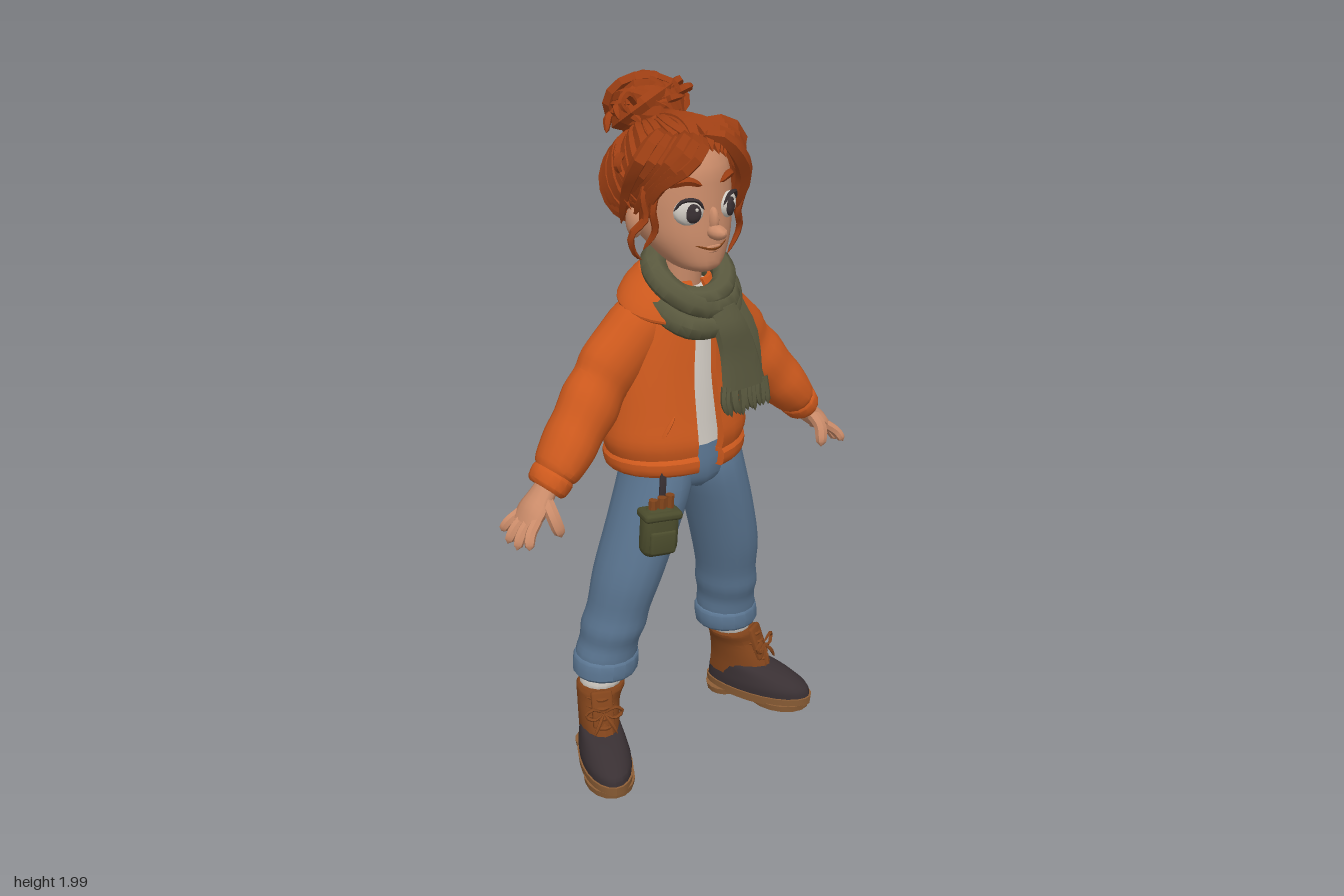
import * as THREE from 'three';
import { mergeGeometries, toCreasedNormals } from 'three/addons/utils/BufferGeometryUtils.js';
import { RoundedBoxGeometry } from 'three/addons/geometries/RoundedBoxGeometry.js';

const mat = (name, color, side = THREE.FrontSide) => {
  const m = new THREE.MeshStandardMaterial({ color, side });
  m.name = name;
  return m;
};
const V3 = (x, y, z) => new THREE.Vector3(x, y, z);
const X = V3(1, 0, 0), Z = V3(0, 0, 1);

// Cross-sections: a full circle, and a thick ring left open at the front
const circle = (n) => Array.from({ length: n }, (_, i) => [Math.cos(i / n * 2 * Math.PI), Math.sin(i / n * 2 * Math.PI)]);
function openRing(n, gap, inner) {
  const arc = Array.from({ length: n }, (_, i) => {
    const t = Math.PI / 2 + gap + i / (n - 1) * (2 * Math.PI - 2 * gap);
    return [Math.cos(t), Math.sin(t)];
  });
  return [...arc, ...arc.map(([u, v]) => [u * inner, v * inner]).reverse()];
}

// Skins a profile over rings [x, y, z, radiusU, radiusV], smoothed along the path
function loft(rings, profile = circle(16), U = X, V = Z, sub = 3) {
  const cen = new THREE.CatmullRomCurve3(rings.map((r) => V3(r[0], r[1], r[2])), false, 'catmullrom');
  const rad = new THREE.CatmullRomCurve3(rings.map((r) => V3(r[3], r[4], 0)), false, 'catmullrom');
  const rows = (rings.length - 1) * sub, n = profile.length, pos = [], idx = [];
  for (let i = 0; i <= rows; i++) {
    const c = cen.getPoint(i / rows), r = rad.getPoint(i / rows);
    for (const [u, v] of profile) pos.push(...c.clone().addScaledVector(U, u * r.x).addScaledVector(V, v * r.y).toArray());
  }
  const flip = U.clone().cross(V).dot(cen.getPoint(1).sub(cen.getPoint(0))) < 0;
  const quad = (a, b, c, d) => (flip ? idx.push(a, c, b, a, d, c) : idx.push(a, b, c, a, c, d));
  for (let i = 0; i < rows; i++) for (let j = 0; j < n; j++) {
    const k = (j + 1) % n;
    quad(i * n + j, i * n + k, (i + 1) * n + k, (i + 1) * n + j);
  }
  for (let i = 0; i < n / 2 - 1; i++) {
    const e = rows * n;
    quad(e + i, e + i + 1, e + n - 2 - i, e + n - 1 - i);
    quad(n - 1 - i, n - 2 - i, i + 1, i);
  }
  const g = new THREE.BufferGeometry();
  g.setAttribute('position', new THREE.Float32BufferAttribute(pos, 3));
  g.setIndex(idx);
  return g;
}

// Tapered tube through points
const leaf = (t) => Math.sqrt(Math.max(0, Math.sin(Math.PI * t)));
const tip = (t) => Math.sqrt(Math.max(0, 1 - t ** 8));
function strand(points, r, taper = leaf, seg = 10, radial = 5) {
  const curve = new THREE.CatmullRomCurve3(points.map((p) => V3(...p)));
  const g = new THREE.TubeGeometry(curve, seg, r, radial), p = g.attributes.position, v = V3(0, 0, 0);
  for (let i = 0; i < p.count; i++) {
    const t = Math.floor(i / (radial + 1)) / seg;
    v.fromBufferAttribute(p, i).sub(curve.getPointAt(t)).multiplyScalar(taper(t)).add(curve.getPointAt(t));
    p.setXYZ(i, v.x, v.y, v.z);
  }
  return g;
}
const ball = (x, y, z, a, b, c, n = 16) => new THREE.SphereGeometry(1, n, Math.max(8, n / 2)).scale(a, b, c).translate(x, y, z);

export function createModel() {
  const D = THREE.DoubleSide;
  const M = {
    jacket: mat('orange jacket', 0xcd591d, D), hair: mat('auburn hair', 0x9c3e13, D), skin: mat('skin', 0xcb8c6a),
    scarf: mat('olive scarf', 0x59583e), denim: mat('blue denim', 0x5c7793), leather: mat('brown leather', 0x82441b),
    rubber: mat('dark rubber', 0x393033), cream: mat('cream cloth', 0xd0cac2), sole: mat('tan sole', 0x8c5e36),
    pouch: mat('moss canvas', 0x4a4b2c),
  };
  const model = new THREE.Group();
  const add = (name, geo, m, parent = model, crease = 0.5) => {
    const mesh = new THREE.Mesh(toCreasedNormals(Array.isArray(geo) ? mergeGeometries(geo) : geo, crease), m);
    mesh.name = name;
    parent.add(mesh);
    return mesh;
  };

  // Head and face
  const head = new THREE.Group();
  head.name = 'head';
  model.add(head);
  const hx = -0.01;
  add('face', loft([[hx, 1.5, 0.13, 0.03, 0.035], [hx, 1.515, 0.115, 0.065, 0.07], [hx, 1.55, 0.09, 0.098, 0.1],
    [hx, 1.6, 0.06, 0.128, 0.13], [hx, 1.66, 0.04, 0.142, 0.145], [hx, 1.72, 0.025, 0.148, 0.155],
    [hx, 1.78, 0.02, 0.14, 0.15], [hx, 1.84, 0.015, 0.1, 0.11], [hx, 1.865, 0.01, 0.04, 0.05]], circle(24)), M.skin, head, 0.8);
  add('neck', loft([[0, 1.38, 0.03, 0.06, 0.06], [0, 1.56, 0.05, 0.052, 0.055]]), M.skin, head, 0.8);
  add('nose', [ball(hx, 1.614, 0.2, 0.024, 0.02, 0.034), ball(hx, 1.645, 0.184, 0.014, 0.035, 0.02)], M.skin, head, 0.8);
  add('lips', [ball(hx, 1.573, 0.182, 0.032, 0.007, 0.012), ball(hx, 1.562, 0.18, 0.024, 0.008, 0.012)], M.skin, head, 0.8);
  add('mouth', strand([[hx - 0.055, 1.582, 0.176], [hx, 1.568, 0.191], [hx + 0.055, 1.582, 0.176]], 0.005), M.leather, head);
  for (const s of [-1, 1]) {
    const eye = new THREE.Group();
    eye.name = s > 0 ? 'leftEye' : 'rightEye';
    eye.position.set(hx + s * 0.067, 1.672, 0.164);
    eye.rotation.y = s * 0.45;
    head.add(eye);
    add('eyeWhite', ball(0, 0, 0, 0.041, 0.036, 0.018), M.cream, eye, 0.8);
    add('iris', ball(-s * 0.01, -0.002, 0.013, 0.022, 0.026, 0.009), M.rubber, eye, 0.8);
    add('glint', ball(-s * 0.01 + 0.008, 0.009, 0.02, 0.005, 0.005, 0.004, 8), M.cream, eye);
    add('lashes', strand([[-0.042, 0.004, 0.006], [-0.02, 0.032, 0.014], [0.02, 0.032, 0.014], [0.042, 0.004, 0.006]], 0.006), M.rubber, eye);
    add('eyebrow', strand([[hx + s * 0.03, 1.738, 0.176], [hx + s * 0.07, 1.753, 0.162], [hx + s * 0.112, 1.738, 0.128]], 0.012), M.hair, head);
    add('ear', ball(hx + s * 0.152, 1.638, 0.045, 0.02, 0.045, 0.03), M.skin, head, 0.8);
  }

  // Hair: cap, locks swept back to the bun, side-swept front locks
  let seed = 7;
  const rnd = (a, b) => a + (b - a) * ((seed = (seed * 16807) % 2147483647) / 2147483647);
  const onScalp = (th, az, k) => V3(Math.sin(th) * Math.sin(az), Math.cos(th), Math.sin(th) * Math.cos(az))
    .applyAxisAngle(X, -0.7).multiply(V3(0.178 * k, 0.148 * k, 0.166 * k)).add(V3(hx, 1.73, 0.022));
  const hairline = (az) => 1.97 - 0.32 * Math.max(0, Math.cos(az)) ** 3;
  const cap = new THREE.SphereGeometry(1, 36, 14), cp = cap.attributes.position;
  for (let i = 0; i < cp.count; i++) {
    const az = Math.atan2(cp.getX(i), cp.getZ(i));
    const v = onScalp(Math.acos(THREE.MathUtils.clamp(cp.getY(i), -1, 1)) / Math.PI * hairline(az), az, 1);
    cp.setXYZ(i, v.x, v.y, v.z);
  }
  // leave the cap open at the hairline
  cap.setIndex([...cap.index.array].slice(0, -36 * 3));
  const locks = [cap];
  for (let i = 0; i < 60; i++) {
    const az = i / 60 * Math.PI * 2, twist = rnd(-0.3, 0.3), lift = rnd(0.98, 1.05), start = hairline(az) + rnd(-0.04, 0.08);
    const pts = [0, 0.25, 0.5, 0.75, 1].map((t) => onScalp(start + (0.2 - start) * t, az + twist * Math.sin(t * 3), lift).toArray());
    locks.push(strand(pts, rnd(0.015, 0.026)));
  }
  for (const s of [-1, 1]) for (let i = 0; i < 6; i++) {
    const k = i * 0.018, f = s < 0 ? 0.235 : 0.185, w = rnd(-0.008, 0.008);
    locks.push(strand([[hx + s * 0.012, 1.845, 0.1 - k], [hx + s * (0.045 + k), 1.855 + w, f - 0.035 - k], [hx + s * (0.098 + k), 1.81 + w, f - 0.025 - k],
      [hx + s * (0.148 + k / 3), 1.735 - w, 0.14 - k], [hx + s * (0.152 + w), 1.65 - rnd(0, 0.04), 0.085 - k]], rnd(0.018, 0.025)));
  }
  add('hair', locks, M.hair, head, 0.35);

  // Bun of tangled loops with flicked ends
  const bun = [ball(0.008, 1.89, -0.105, 0.095, 0.087, 0.105)];
  for (let i = 0; i < 18; i++) {
    bun.push(new THREE.TorusGeometry(rnd(0.055, 0.08), rnd(0.013, 0.02), 5, 14).rotateX(rnd(0, 3.1)).rotateY(rnd(0, 3.1))
      .scale(1.13, 1, 1.15).translate(0.008 + rnd(-0.02, 0.02), 1.905 + rnd(-0.018, 0.008), -0.11 + rnd(-0.025, 0.02)));
  }
  for (let i = 0; i < 12; i++) {
    const a = i / 12 * Math.PI * 2, y = rnd(1.84, 1.95), c = Math.sin(a), d = Math.cos(a);
    bun.push(strand([[0.008 + c * 0.06, y, -0.11 + d * 0.06], [0.008 + c * 0.105, y + 0.025, -0.11 + d * 0.105],
      [0.008 + c * 0.12 + d * 0.03, y + rnd(-0.02, 0.03), -0.11 + d * 0.115 - c * 0.03]], 0.013));
  }
  add('bun', bun, M.hair, head, 0.35);

  // Loose curls
  add('looseCurls', [
    [[-0.15, 1.8, 0.1], [-0.185, 1.72, 0.11], [-0.175, 1.66, 0.11], [-0.215, 1.62, 0.1], [-0.2, 1.57, 0.09], [-0.165, 1.54, 0.08]],
    [[-0.14, 1.76, 0.13], [-0.16, 1.68, 0.12], [-0.145, 1.62, 0.11], [-0.17, 1.57, 0.09]],
    [[0.14, 1.8, 0.1], [0.165, 1.7, 0.11], [0.15, 1.63, 0.1], [0.175, 1.57, 0.08], [0.13, 1.5, 0.08]],
    [[0.16, 1.76, 0.06], [0.18, 1.69, 0.06], [0.17, 1.65, 0.06], [0.205, 1.63, 0.05], [0.2, 1.6, 0.05]],
    [[-0.15, 1.78, 0.02], [-0.185, 1.81, 0.02], [-0.205, 1.79, 0.03], [-0.19, 1.76, 0.03]],
    [[-0.06, 1.9, -0.06], [-0.12, 1.95, -0.04], [-0.145, 1.93, -0.03], [-0.13, 1.905, -0.02]],
    [[0.08, 1.85, -0.1], [0.12, 1.84, -0.14], [0.115, 1.8, -0.19], [0.1, 1.77, -0.17]],
  ].map((p) => strand(p, 0.011, leaf, 14)), M.hair, head);

  // Shirt
  add('shirt', loft([[-0.01, 1, 0.03, 0.17, 0.138], [-0.01, 1.2, 0.03, 0.15, 0.12], [0, 1.44, 0.03, 0.09, 0.085]]), M.cream);

  // Jacket: open body, hem band and collar
  const jx = -0.015, ring = openRing(26, 0.2, 0.88);
  add('jacketBody', loft([[jx, 0.97, 0.03, 0.212, 0.158], [jx, 1.02, 0.03, 0.228, 0.167], [jx, 1.09, 0.03, 0.218, 0.155],
    [jx, 1.2, 0.03, 0.198, 0.138], [-0.005, 1.31, 0.028, 0.18, 0.128], [0, 1.4, 0.027, 0.15, 0.115],
    [0, 1.46, 0.027, 0.095, 0.085]], ring), M.jacket);
  add('jacketHem', loft([[jx, 0.93, 0.03, 0.208, 0.16], [jx, 0.94, 0.03, 0.218, 0.168], [jx, 0.97, 0.03, 0.222, 0.17],
    [jx, 0.983, 0.03, 0.212, 0.158]], ring, X, Z, 2), M.jacket);
  add('collar', loft([[0, 1.385, 0.03, 0.175, 0.125], [0, 1.4, 0.03, 0.188, 0.135], [0, 1.44, 0.03, 0.158, 0.122],
    [0, 1.475, 0.035, 0.12, 0.1]], openRing(26, 0.55, 0.85), X, V3(0, -0.28, 1)), M.jacket);

  // Sleeves, hands and fingers
  for (const s of [-1, 1]) {
    const arm = new THREE.Group();
    arm.name = s > 0 ? 'leftArm' : 'rightArm';
    model.add(arm);
    const U = V3(s * 0.736, 0.677, 0), P = (list) => list.map(([x, ...r]) => [s * x, ...r]);
    add('sleeve', loft(P([[0.06, 1.39, 0.025, 0.06, 0.07], [0.115, 1.35, 0.02, 0.086, 0.085], [0.17, 1.295, 0.015, 0.091, 0.085],
      [0.23, 1.235, 0.012, 0.094, 0.08], [0.262, 1.197, 0.012, 0.085, 0.074], [0.3, 1.15, 0.018, 0.09, 0.082],
      [0.345, 1.1, 0.027, 0.079, 0.078], [0.385, 1.055, 0.035, 0.075, 0.083], [0.43, 1.005, 0.043, 0.063, 0.075],
      [0.445, 0.988, 0.045, 0.052, 0.06]]), circle(16), U), M.jacket, arm);
    add('cuff', loft(P([[0.44, 0.993, 0.045, 0.05, 0.062], [0.447, 0.985, 0.045, 0.057, 0.068], [0.467, 0.962, 0.046, 0.054, 0.064],
      [0.474, 0.954, 0.046, 0.044, 0.055]]), circle(16), U, Z, 2), M.jacket, arm);
    add('palm', loft(P([[0.46, 0.97, 0.046, 0.028, 0.036], [0.49, 0.935, 0.048, 0.029, 0.044], [0.52, 0.905, 0.05, 0.028, 0.053],
      [0.548, 0.875, 0.051, 0.017, 0.052]]), circle(12), U), M.skin, arm, 0.8);
    add('fingers', [[0.088, 0.122, 0.58, 0.832], [0.063, 0.079, 0.592, 0.82], [0.037, 0.034, 0.592, 0.822], [0.012, -0.012, 0.58, 0.838]]
      .map(([z0, z1, x, y]) => strand(P([[0.53, 0.893, z0], [(0.54 + x) / 2 + 0.005, (0.885 + y) / 2 + 0.005, (z0 + z1) / 2], [x, y, z1]]), 0.0155, tip, 8, 7))
      .concat(strand(P([[0.488, 0.935, 0.07], [0.492, 0.9, 0.108], [0.48, 0.842, 0.128]]), 0.019, tip, 8, 7)), M.skin, arm, 0.8);
    // slanted pocket welt
    add('pocketWelt', strand([[jx + s * 0.105, 1.11, 0.163], [jx + s * 0.15, 1.03, 0.148]], 0.008), M.jacket);
  }

  // Scarf: tilted loops, hanging ends and fringe
  const loop = (y0, rx, rz, tilt, lean, r) => new THREE.TubeGeometry(new THREE.CatmullRomCurve3(
    Array.from({ length: 10 }, (_, i) => {
      const t = i / 10 * Math.PI * 2;
      return V3(0.008 + rx * Math.sin(t), y0 - tilt * Math.cos(t) + lean * Math.sin(t), 0.07 + rz * Math.cos(t));
    }), true), 32, r, 8, true);
  add('scarfLoops', [loop(1.422, 0.116, 0.096, 0.076, 0.012, 0.038), loop(1.455, 0.108, 0.09, 0.06, -0.018, 0.037),
    loop(1.474, 0.098, 0.085, 0.05, 0.012, 0.034)], M.scarf, model, 0.8);
  add('scarfTail', loft([[0.03, 1.4, 0.165, 0.05, 0.03], [0.05, 1.34, 0.19, 0.058, 0.026], [0.075, 1.26, 0.198, 0.065, 0.018],
    [0.09, 1.16, 0.208, 0.078, 0.014]], circle(12)), M.scarf);
  add('scarfUnderTail', loft([[0.08, 1.4, 0.14, 0.05, 0.025], [0.115, 1.3, 0.175, 0.05, 0.018], [0.128, 1.14, 0.195, 0.046, 0.014]], circle(12)), M.scarf);
  add('scarfFringe', Array.from({ length: 11 }, (_, i) => {
    const x = 0.018 + i * 0.0148;
    return strand([[x, 1.175, 0.207], [x + rnd(-0.006, 0.008), 1.13, 0.212], [x + rnd(0, 0.012), rnd(1.075, 1.09), 0.215]], 0.009, tip, 6);
  }), M.scarf);

  // Jeans
  add('jeansSeat', loft([[0, 0.855, 0.042, 0.03, 0.09], [0, 0.88, 0.043, 0.12, 0.112], [0, 0.93, 0.042, 0.182, 0.122], [0, 1.0, 0.038, 0.176, 0.122]]), M.denim);
  for (const s of [-1, 1]) {
    const side = s > 0 ? 'left' : 'right';
    add(side + 'TrouserLeg', loft([[0.09, 0.97, 0.042, 0.085, 0.112], [0.098, 0.88, 0.045, 0.099, 0.121], [0.139, 0.75, 0.04, 0.097, 0.118],
      [0.183, 0.6, 0.025, 0.095, 0.112], [0.206, 0.49, 0.008, 0.087, 0.1], [0.218, 0.43, -0.003, 0.091, 0.102], [0.226, 0.38, -0.013, 0.085, 0.093],
      [0.233, 0.335, -0.02, 0.091, 0.092], [0.235, 0.29, -0.021, 0.085, 0.085]].map(([x, ...r]) => [s * x, ...r])), M.denim);
    add(side + 'TrouserCuff', loft([[s * 0.237, 0.268, -0.022, 0.085, 0.083], [s * 0.237, 0.28, -0.022, 0.098, 0.095],
      [s * 0.233, 0.325, -0.021, 0.098, 0.096], [s * 0.232, 0.337, -0.02, 0.088, 0.087]], circle(16), X, Z, 2), M.denim);
    add(side + 'Sock', loft([[s * 0.262, 0.215, -0.022, 0.05, 0.05], [s * 0.252, 0.25, -0.021, 0.066, 0.064], [s * 0.24, 0.3, -0.02, 0.06, 0.06]]), M.cream);

    // Boots, turned outwards
    const boot = new THREE.Group();
    boot.name = side + 'Boot';
    boot.position.set(s * 0.272, 0, -0.018);
    boot.rotation.y = s * 0.43;
    model.add(boot);
    const foot = circle(24).map(([u, v]) => [u * (1 + 0.12 * v), v]), lean = (x) => -s * x;
    add('sole', loft([[0, 0.014, 0.086, 0.073, 0.177], [0, 0.042, 0.086, 0.076, 0.18]], foot, X, Z, 1), M.sole, boot);
    add('heel', loft([[0, 0, -0.03, 0.06, 0.058], [0, 0.02, -0.03, 0.064, 0.062]], circle(16), X, Z, 1), M.sole, boot);
    add('forefoot', loft([[0, 0, 0.158, 0.072, 0.097], [0, 0.02, 0.158, 0.075, 0.101]], circle(16), X, Z, 1), M.sole, boot);
    add('rubberShell', loft([[0, 0.04, 0.086, 0.071, 0.174], [0, 0.065, 0.083, 0.072, 0.169], [0, 0.09, 0.066, 0.067, 0.149],
      [0, 0.113, 0.04, 0.061, 0.117], [0, 0.126, 0.018, 0.055, 0.085]], foot), M.rubber, boot);
    add('shaft', loft([[0, 0.08, 0.028, 0.058, 0.112], [0, 0.14, 0.018, 0.06, 0.096], [lean(0.004), 0.195, 0, 0.064, 0.079],
      [lean(0.012), 0.23, -0.005, 0.072, 0.076], [lean(0.014), 0.241, -0.005, 0.068, 0.071]]), M.leather, boot);
    add('tongue', new RoundedBoxGeometry(0.064, 0.11, 0.02, 2, 0.008).rotateX(-0.35).translate(0, 0.192, 0.08), M.leather, boot);
    const laces = [0.14, 0.167, 0.195, 0.22].map((y, i) => strand([[-0.044, y, 0.075 - i * 0.009], [0, y + 0.004, 0.113 - i * 0.01], [0.044, y, 0.075 - i * 0.009]], 0.006));
    for (const k of [-1, 1]) {
      laces.push(strand([[0, 0.19, 0.1], [k * 0.035, 0.212, 0.108], [k * 0.055, 0.19, 0.102], [k * 0.03, 0.175, 0.108], [0, 0.19, 0.1]], 0.006));
      laces.push(strand([[0, 0.19, 0.102], [k * 0.02, 0.16, 0.12], [k * 0.035, 0.13, 0.125]], 0.006));
    }
    add('laces', laces, M.leather, boot);
  }

  // Belt pouch with tools
  const pouch = new THREE.Group();
  pouch.name = 'beltPouch';
  pouch.position.set(-0.182, 0.783, 0.168);
  pouch.rotation.set(0, -0.25, -0.06);
  model.add(pouch);
  add('bag', new RoundedBoxGeometry(0.11, 0.145, 0.068, 3, 0.032), M.pouch, pouch);
  add('rim', new RoundedBoxGeometry(0.114, 0.026, 0.074, 2, 0.011).translate(0, 0.054, 0), M.pouch, pouch);
  add('frontPocket', new RoundedBoxGeometry(0.078, 0.07, 0.02, 2, 0.009).translate(0, -0.022, 0.03), M.pouch, pouch);
  add('tools', [-0.022, 0.004, 0.028].map((x, i) => new THREE.CylinderGeometry(0.013, 0.013, 0.05, 8).translate(x, 0.072 + i * 0.005, 0)), M.leather, pouch);
  add('strap', new RoundedBoxGeometry(0.02, 0.12, 0.01, 1, 0.004).translate(0.015, 0.115, -0.022), M.rubber, pouch);
  return model;
}
